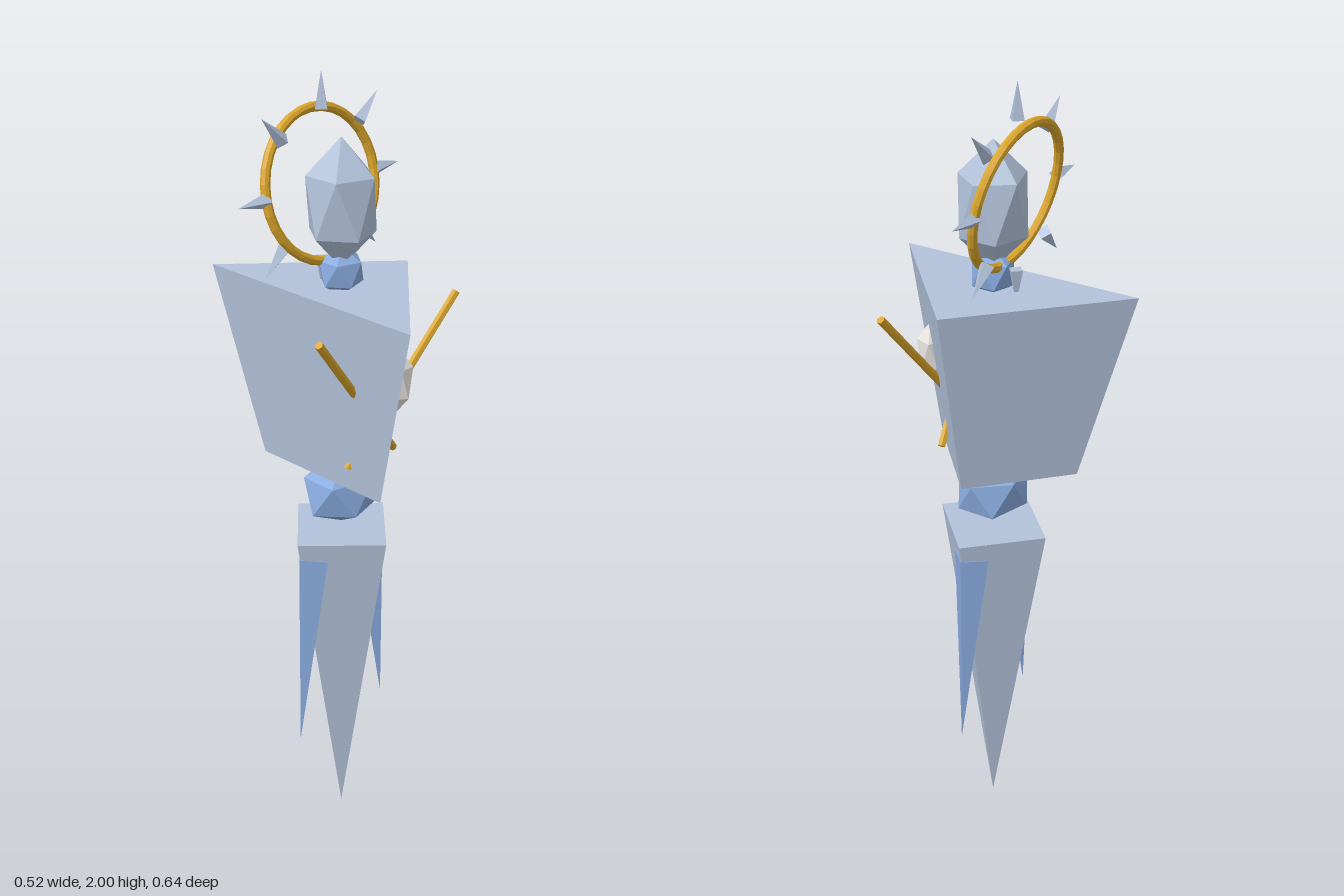
import * as THREE from 'three';

export function createModel() {
  const model = new THREE.Group();
  model.name = 'crystalGuardian';

  const flat = (name, color) => {
    const m = new THREE.MeshStandardMaterial({ color, flatShading: true });
    m.name = name;
    return m;
  };
  const stone = flat('paleBlueStone', 0xb2c2da);
  const blue = flat('blueCrystal', 0x88aade);
  const gold = flat('gold', 0xdaa52a);
  const white = flat('whiteCrystal', 0xf2eeea);

  const add = (name, geometry, material, x = 0, y = 0, z = 0, parent = model) => {
    const mesh = new THREE.Mesh(geometry, material);
    mesh.name = name;
    mesh.position.set(x, y, z);
    parent.add(mesh);
    return mesh;
  };

  // Icosahedron standing on one corner, stretched along each axis
  const gem = (rx, ry, rz) =>
    new THREE.IcosahedronGeometry(1, 0)
      .rotateZ(-Math.atan(2 / (1 + Math.sqrt(5))))
      .scale(rx, ry, rz);

  // Head, neck and waist gems
  add('head', gem(0.092, 0.153, 0.092), stone, 0, 1.71, 0);
  add('neck', gem(0.06, 0.06, 0.056), blue, 0, 1.55, 0);
  add('waist', gem(0.112, 0.092, 0.094), blue, 0, 0.981, 0);

  // Torso: tapered three-sided block, deeper than wide
  const torso = new THREE.CylinderGeometry(0.23, 0.142, 0.475, 3)
    .rotateY(Math.PI / 2)
    .scale(1, 1, 1.6);
  add('torso', torso, stone, 0, 1.2775, 0);

  // Lower body: four-sided spike pointing down
  add('lowerBody', new THREE.CylinderGeometry(0.154, 0, 0.878, 4), stone, 0, 0.439, 0);

  // Side shards and arm rods, one per side
  const up = new THREE.Vector3(0, 1, 0);
  for (const s of [1, -1]) {
    const side = s > 0 ? 'left' : 'right';
    const shard = add(side + 'Shard', new THREE.CylinderGeometry(0.05, 0, 0.54, 4),
      blue, s * 0.126, 0.56, 0);
    shard.rotation.z = s * 0.1;

    const outer = new THREE.Vector3(s * 0.23, 1.478, 0.155);
    const inner = new THREE.Vector3(s * -0.08, 1.1, 0.098);
    const dir = outer.clone().sub(inner);
    const arm = add(side + 'Arm', new THREE.CylinderGeometry(0.01, 0.01, dir.length(), 6), gold);
    arm.position.copy(outer).add(inner).multiplyScalar(0.5);
    arm.quaternion.setFromUnitVectors(up, dir.normalize());
  }

  // Chest gem set in the slanted front face
  const chest = add('chestGem', gem(0.044, 0.08, 0.04), white, 0.018, 1.317, 0.163);
  chest.rotation.set(0, 0.4, -0.08);

  // Tilted halo ring with upright ring of spikes
  const halo = new THREE.Group();
  halo.name = 'halo';
  halo.position.set(0, 1.742, -0.062);
  model.add(halo);
  const ring = add('haloRing', new THREE.TorusGeometry(0.173, 0.0115, 8, 32), gold, 0, 0, 0, halo);
  ring.rotation.x = -0.2;
  for (let i = 0; i < 8; i++) {
    const a = (i * Math.PI) / 4;
    const spike = add('haloSpike', new THREE.ConeGeometry(0.019, 0.085, 4), stone,
      -Math.sin(a) * 0.2155, Math.cos(a) * 0.2155, 0, halo);
    spike.rotation.z = a;
  }

  return model;
}
